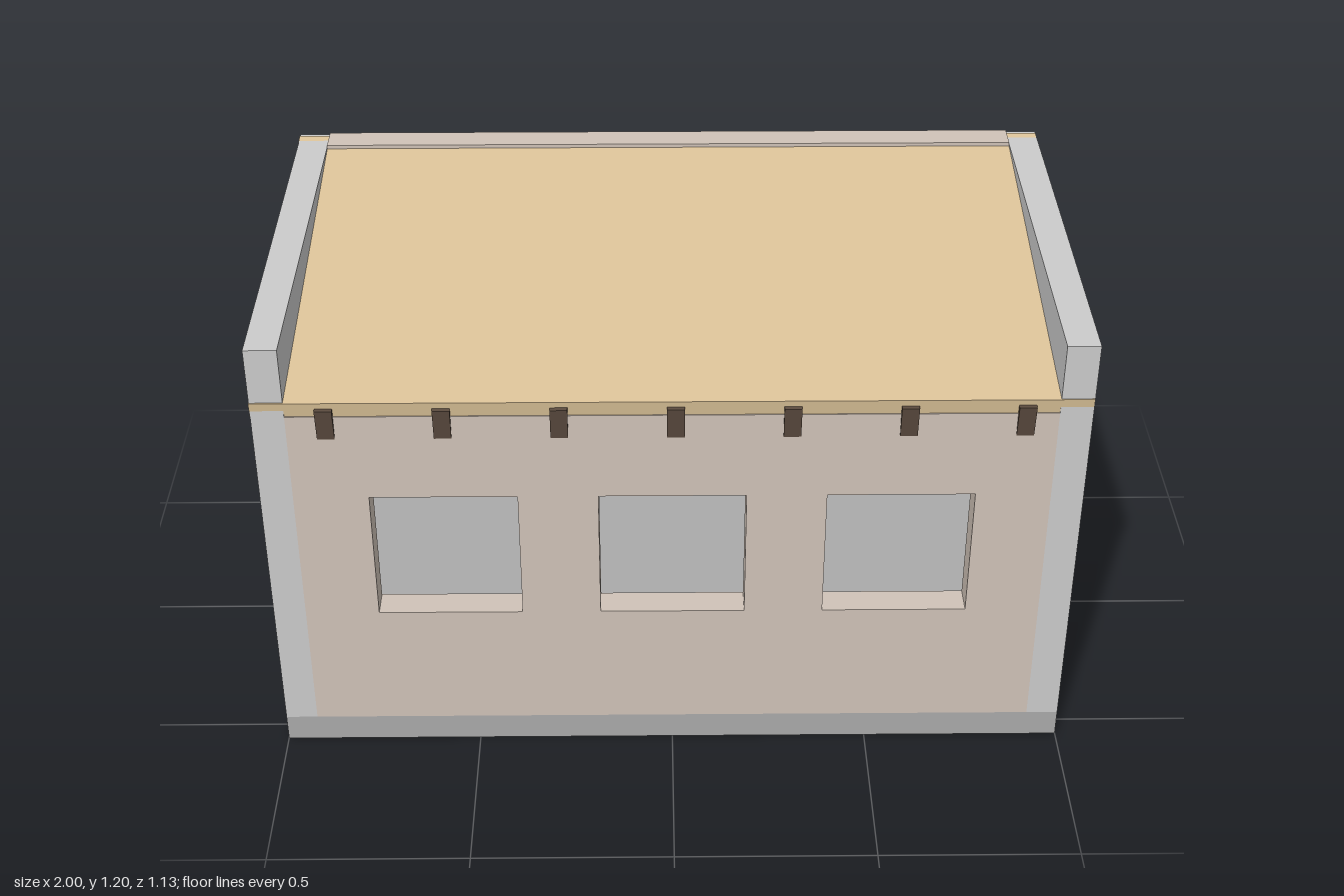
import * as THREE from 'three';

const COLORS = { wall: 0xcccccc, plaster: 0xd0c3b8, roof: 0xdcc399, beam: 0x5a4a3e, slab: 0xaaaaaa };
const W = 1, D = 0.555, T = 0.08;      // half width, half depth, wall thickness
const FLOOR = 0.073, END_TOP = 1.191;  // floor level, end wall height

export function createModel() {
  const group = new THREE.Group();

  const add = (name, geometry, color, x = 0, y = 0, z = 0) => {
    const material = new THREE.MeshStandardMaterial({ color, flatShading: true });
    const mesh = new THREE.Mesh(geometry, material);
    mesh.name = name;
    mesh.position.set(x, y, z);
    group.add(mesh);
    return mesh;
  };

  const rect = (Type, x0, y0, x1, y1) => new Type([
    new THREE.Vector2(x0, y0), new THREE.Vector2(x1, y0),
    new THREE.Vector2(x1, y1), new THREE.Vector2(x0, y1),
  ]);
  const extrude = (shape, depth) => new THREE.ExtrudeGeometry(shape, { depth, bevelEnabled: false });

  // Box sloping up to the back, placed by the middles of its front and back ends
  const slopedBox = (name, color, width, height, x, front, back) => {
    const [zf, yf] = front, [zb, yb] = back;
    const length = Math.hypot(zf - zb, yb - yf);
    const mesh = add(name, new THREE.BoxGeometry(width, height, length), color,
      x, (yf + yb) / 2, (zf + zb) / 2);
    mesh.rotation.x = Math.atan2(yb - yf, zf - zb);
  };

  // Floor slab
  add('floorSlab', new THREE.BoxGeometry(2 * W, FLOOR, 2 * D), COLORS.slab, 0, FLOOR / 2, 0);

  // Front wall with three window openings
  const front = rect(THREE.Shape, -W + T, FLOOR, W - T, 1.005);
  for (const x of [-0.556, 0, 0.556]) {
    front.holes.push(rect(THREE.Path, x - 0.18, 0.415, x + 0.18, 0.77));
  }
  add('frontWall', extrude(front, 0.075), COLORS.plaster, 0, 0, D - 0.075);

  // Back wall, rising just above the roof
  add('backWall', new THREE.BoxGeometry(2 * (W - T), 1.196 - FLOOR, 0.075), COLORS.plaster,
    0, (1.196 + FLOOR) / 2, -D + 0.0375);

  // End walls; the left one has a doorway
  const doorWall = new THREE.Shape();
  [[-D, FLOOR], [-0.163, FLOOR], [-0.163, 0.845], [0.163, 0.845], [0.163, FLOOR], [D, FLOOR],
    [D, END_TOP], [-D, END_TOP]].forEach(([z, y], i) => (i ? doorWall.lineTo(z, y) : doorWall.moveTo(z, y)));
  add('leftEndWall', extrude(doorWall, T).rotateY(-Math.PI / 2), COLORS.wall, W);
  add('rightEndWall', new THREE.BoxGeometry(T, END_TOP - FLOOR, 2 * D), COLORS.wall,
    -W + T / 2, (END_TOP + FLOOR) / 2, 0);

  // Sloping roof, running through the end walls
  slopedBox('roof', COLORS.roof, 2 * W, 0.045, -0.001, [0.555, 1.0225], [-0.543, 1.1717]);

  // Roof beams with projecting ends
  for (let i = 0; i < 7; i++) {
    slopedBox('roofBeam', COLORS.beam, 0.042, 0.085, -0.826 + 0.278 * i, [0.562, 0.985], [-0.56, 1.113]);
  }

  return group;
}
